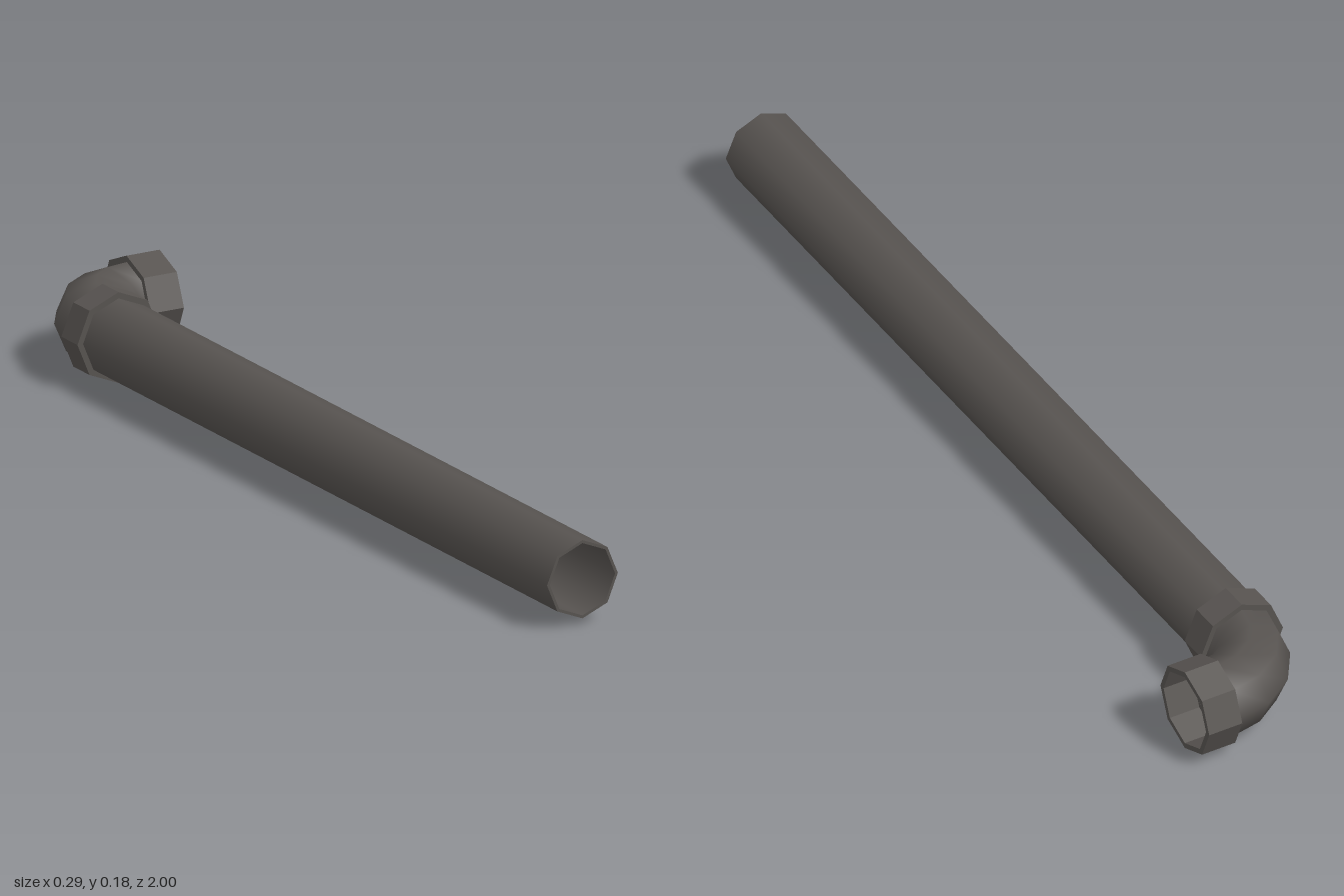
import * as THREE from 'three';
import { mergeGeometries } from 'three/addons/utils/BufferGeometryUtils.js';

const SIDES = 8;
const CX = -0.055, CY = 0.092, CZ = -0.91; // pipe axis x, height, outlet axis z
const OUTER = 0.078, INNER = 0.072, COLLAR = 0.0905;

// Quarter bend from the pipe axis (-z) round to the outlet axis (+x)
class Bend extends THREE.Curve {
  getPoint(t, target = new THREE.Vector3()) {
    const a = t * Math.PI / 2, r = 0.13;
    return target.set(CX + r - r * Math.cos(a), CY, CZ + r - r * Math.sin(a));
  }
}

// Hollow octagonal sleeve along y; each wall keeps its own normals so rims stay sharp
function sleeve(inner, outer, from, to) {
  const p = [[inner, from], [outer, from], [outer, to], [inner, to], [inner, from]]
    .map(([r, y]) => new THREE.Vector2(r, y));
  const walls = [];
  for (let i = 0; i < 4; i++) walls.push(new THREE.LatheGeometry([p[i], p[i + 1]], SIDES));
  return mergeGeometries(walls);
}

function faceted(geometry) {
  const g = geometry.toNonIndexed();
  g.computeVertexNormals();
  return g;
}

export function createModel() {
  const model = new THREE.Group();
  model.name = 'bentPipe';
  const metal = new THREE.MeshStandardMaterial({ color: 0x575350, side: THREE.DoubleSide });
  metal.name = 'darkMetal';

  const add = (name, geometry) => {
    const mesh = new THREE.Mesh(geometry, metal);
    mesh.name = name;
    model.add(mesh);
    return mesh;
  };

  // Long straight pipe
  add('straightPipe', sleeve(INNER, OUTER, -0.76, 1).rotateX(Math.PI / 2))
    .position.set(CX, CY, 0);

  // Joint collar between pipe and elbow
  add('jointCollar', faceted(sleeve(INNER, COLLAR, -0.785, -0.725)).rotateX(Math.PI / 2))
    .position.set(CX, CY, 0);

  // Elbow with outer and inner walls
  const bend = new Bend();
  add('elbowOuterWall', new THREE.TubeGeometry(bend, 4, OUTER, SIDES));
  add('elbowInnerWall', new THREE.TubeGeometry(bend, 4, INNER, SIDES));

  // Open outlet collar, with a shoulder closing the gap to the elbow
  add('outletCollar', faceted(sleeve(0.079, COLLAR, 0.072, 0.145)).rotateZ(-Math.PI / 2))
    .position.set(0, CY, CZ);
  add('outletShoulder', faceted(sleeve(INNER, 0.08, 0.0725, 0.08)).rotateZ(-Math.PI / 2))
    .position.set(0, CY, CZ);

  return model;
}
